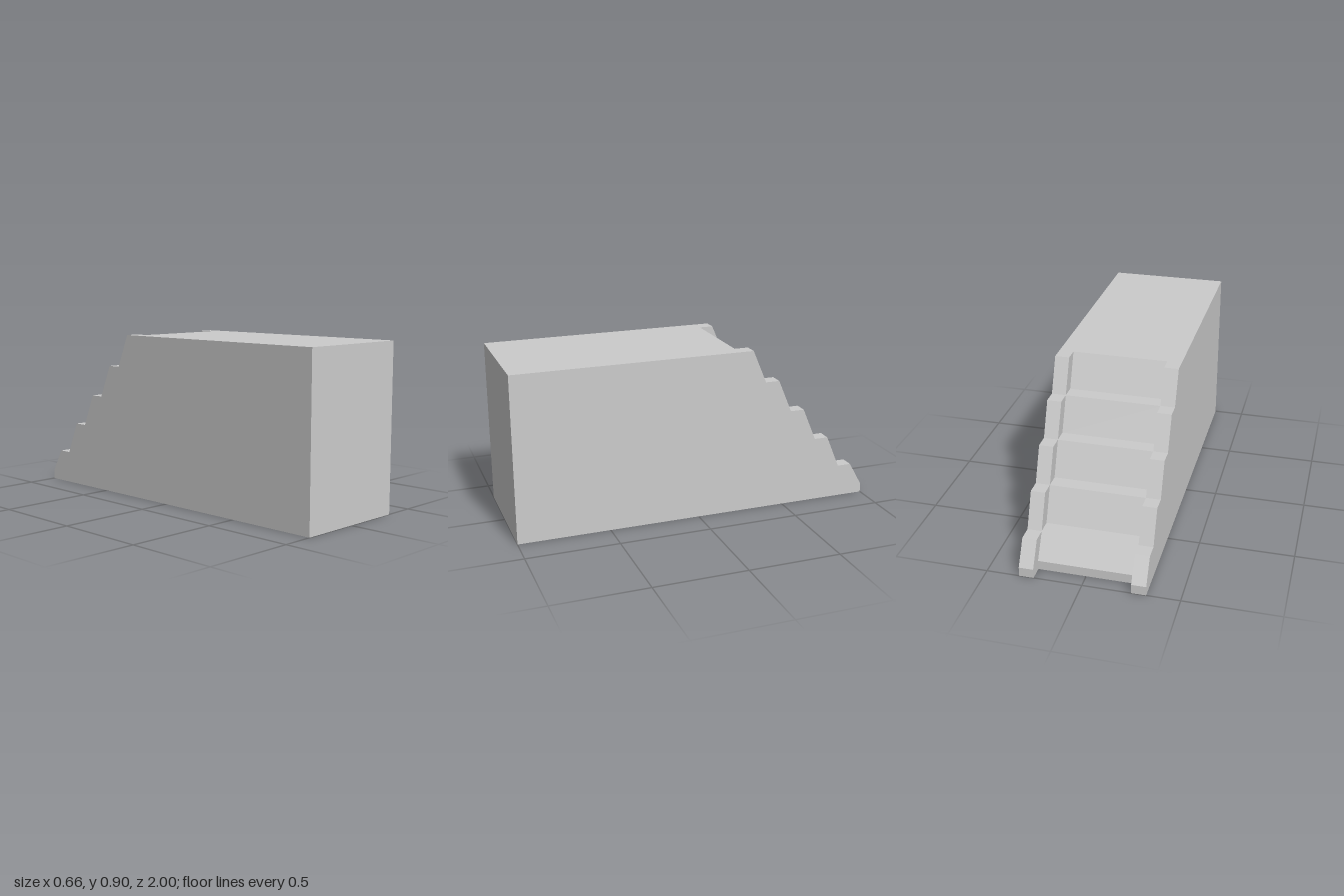
import * as THREE from 'three';

const STEPS = 5;
const HEIGHT = 0.905;
const RISE = HEIGHT / STEPS;
const RUN = 0.155;        // depth of one slanted riser plus its tread
const SLANT = 0.077;      // horizontal lean of each riser
const HALF_WIDTH = 0.328;
const INNER_HALF = 0.252;

// Side profile (z, y) of the solid block with slanted steps at the back
function stepProfile(topEdge, backEdge) {
  const points = [[1, 0], [1, HEIGHT]];
  for (let i = 0; i < STEPS; i++) {
    const z = topEdge - i * RUN;
    const y = HEIGHT - i * RISE;
    points.push([z, y]);
    if (i < STEPS - 1) points.push([z - SLANT, y - RISE]);
  }
  points.push([backEdge, 0.05], [backEdge, 0]);
  return new THREE.Shape(points.map(([z, y]) => new THREE.Vector2(z, y)));
}

// Slab of the given profile, centred on x
function slab(name, shape, width, x, material) {
  const geometry = new THREE.ExtrudeGeometry(shape, { depth: width, bevelEnabled: false });
  geometry.translate(0, 0, -width / 2);
  geometry.rotateY(-Math.PI / 2);
  const mesh = new THREE.Mesh(geometry, material);
  mesh.name = name;
  mesh.position.x = x;
  return mesh;
}

export function createModel() {
  const group = new THREE.Group();
  group.name = 'steppedBlock';
  const material = new THREE.MeshStandardMaterial({ color: 0xcccccc, flatShading: true });

  // Recessed flight of steps between the side walls
  const flight = stepProfile(-0.305 + SLANT, -1 + SLANT);
  group.add(slab('stairFlight', flight, INNER_HALF * 2, 0, material));

  // Side walls repeat the steps slightly further back
  const wall = stepProfile(-0.305, -1);
  const thickness = HALF_WIDTH - INNER_HALF;
  const offset = (HALF_WIDTH + INNER_HALF) / 2;
  group.add(slab('leftSideWall', wall, thickness, offset, material));
  group.add(slab('rightSideWall', wall, thickness, -offset, material));

  return group;
}
